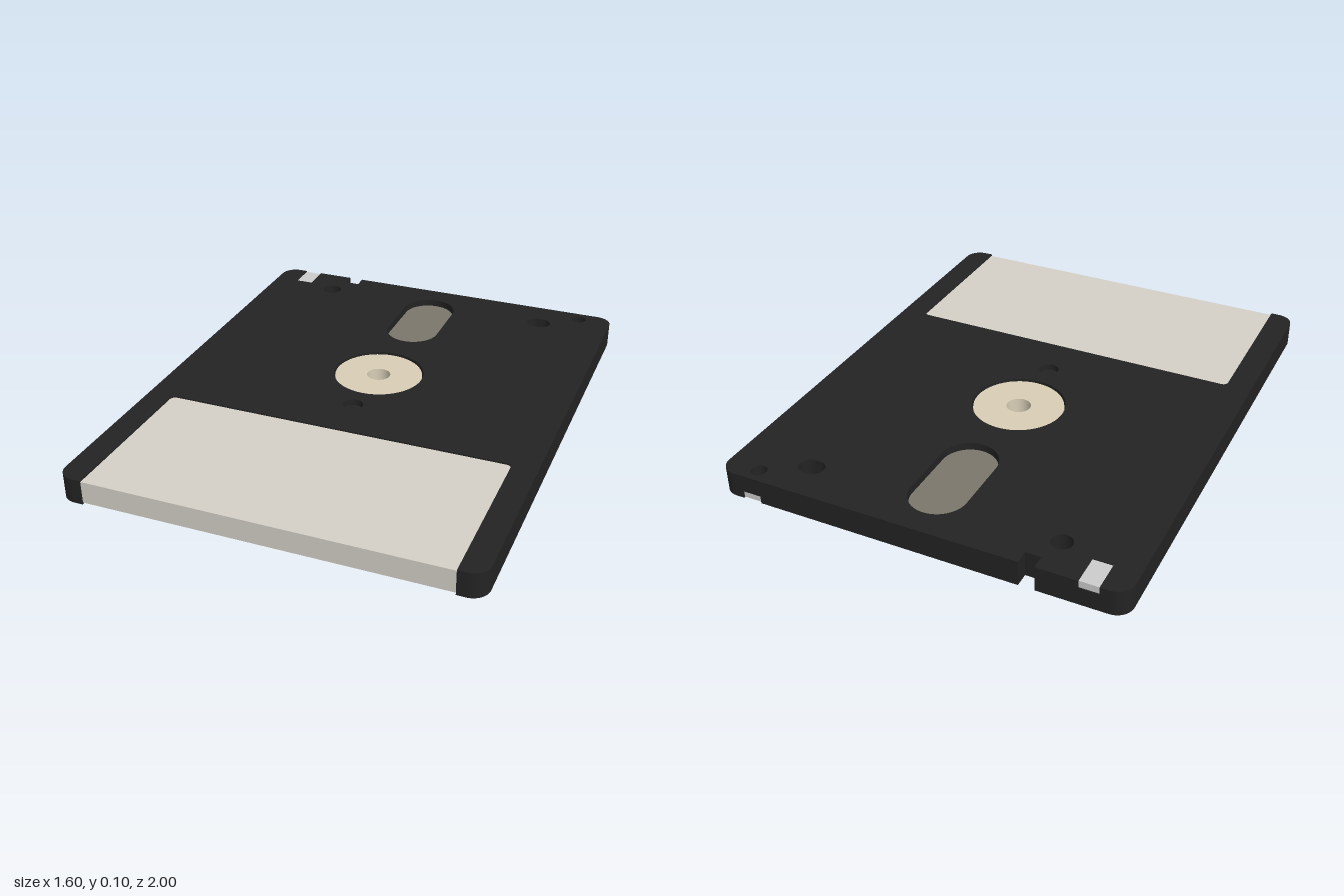
import * as THREE from 'three';

const H = 0.1; // shell thickness

// Shapes are drawn in plan: shape x = x, shape y = -z (up = rear edge)
function stadium(P, cx, cy, r, dx, dy) {
  const p = new P();
  if (dx > 0) {
    p.absarc(cx + dx, cy, r, -Math.PI / 2, Math.PI / 2);
    p.absarc(cx - dx, cy, r, Math.PI / 2, Math.PI * 1.5);
  } else {
    p.absarc(cx, cy + dy, r, 0, Math.PI);
    p.absarc(cx, cy - dy, r, Math.PI, Math.PI * 2);
  }
  p.closePath();
  return p;
}

function circle(P, cx, cy, r) {
  const p = new P();
  p.absarc(cx, cy, r, 0, Math.PI * 2);
  return p;
}

// Shell outline; tabX = side with an open tab pocket (0 for none)
function outline(tabX) {
  const R = 0.065, c = 0.022;
  const s = new THREE.Shape();
  s.moveTo(-0.8 + R, -1);
  s.lineTo(-0.7, -1);
  // label bay
  s.lineTo(-0.7, -0.335 - c);
  s.absarc(-0.7 + c, -0.335 - c, c, Math.PI, Math.PI / 2, true);
  s.absarc(0.7 - c, -0.335 - c, c, Math.PI / 2, 0, true);
  s.lineTo(0.7, -1);
  s.absarc(0.8 - R, -1 + R, R, -Math.PI / 2, 0);
  s.absarc(0.8 - R, 1 - R, R, 0, Math.PI / 2);
  const pocket = (a, b, depth) => {
    s.lineTo(b, 1); s.lineTo(b, 1 - depth); s.lineTo(a, 1 - depth); s.lineTo(a, 1);
  };
  if (tabX > 0) pocket(0.625, 0.7, 0.12);
  pocket(-0.47, -0.41, 0.055); // rear notch
  if (tabX < 0) pocket(-0.7, -0.625, 0.12);
  s.absarc(-0.8 + R, 1 - R, R, Math.PI / 2, Math.PI);
  s.absarc(-0.8 + R, -1 + R, R, Math.PI, Math.PI * 1.5);

  s.holes.push(
    circle(THREE.Path, 0, 0.145, 0.185),                // hub opening
    stadium(THREE.Path, 0, 0.68, 0.112, 0, 0.113),      // head window
    circle(THREE.Path, 0, -0.14, 0.04),                 // index hole
    circle(THREE.Path, -0.5, 0.845, 0.04),              // locating holes
    stadium(THREE.Path, 0.5, 0.845, 0.04, 0.011, 0),
  );
  // sensing holes that open onto the tab on the other face
  for (const x of [-0.66, 0.66]) {
    if (x * tabX <= 0) s.holes.push(circle(THREE.Path, x, 0.945, 0.03));
  }
  return s;
}

export function createModel() {
  const model = new THREE.Group();
  const mat = (color) => new THREE.MeshStandardMaterial({ color });
  const black = mat(0x232323), paper = mat(0xd4cfc6), cream = mat(0xd8ceb6);
  const film = mat(0x7a766c), grey = mat(0xcccccc);

  // Extrude a plan shape between two heights
  const slab = (name, shape, y0, y1, material) => {
    const g = new THREE.ExtrudeGeometry(shape, { depth: y1 - y0, bevelEnabled: false, curveSegments: 24 });
    g.rotateX(-Math.PI / 2).translate(0, y0, 0);
    const m = new THREE.Mesh(g, material);
    m.name = name;
    model.add(m);
  };

  // Shell in three layers: the tab pockets sit on opposite sides top and bottom
  slab('shellBottom', outline(1), 0, 0.03, black);
  slab('shellMiddle', outline(0), 0.03, H - 0.03, black);
  slab('shellTop', outline(-1), H - 0.03, H, black);

  // Label wrapped over the front edge, slightly recessed
  const c = 0.022, label = new THREE.Shape();
  label.moveTo(-0.7, -0.996);
  label.lineTo(0.7, -0.996);
  label.absarc(0.7 - c, -0.335 - c, c, 0, Math.PI / 2);
  label.absarc(-0.7 + c, -0.335 - c, c, Math.PI / 2, Math.PI);
  label.closePath();
  slab('label', label, 0.006, H - 0.006, paper);

  // Hub ring
  const hub = circle(THREE.Shape, 0, 0.145, 0.18);
  hub.holes.push(circle(THREE.Path, 0, 0.145, 0.048));
  slab('hub', hub, 0.008, H - 0.008, cream);

  // Magnetic film in the head window, and the index hole's plug
  slab('film', stadium(THREE.Shape, 0, 0.68, 0.109, 0, 0.113), 0.028, H - 0.028, film);
  slab('indexPlug', circle(THREE.Shape, 0, -0.14, 0.04), 0.025, H - 0.025, black);

  // Write-protect tabs, one per face
  for (const [name, x, y] of [['topTab', -0.6625, H - 0.0165], ['bottomTab', 0.6625, 0.0165]]) {
    const tab = new THREE.Mesh(new THREE.BoxGeometry(0.075, 0.027, 0.116), grey);
    tab.position.set(x, y, -0.938);
    tab.name = name;
    model.add(tab);
  }
  return model;
}
